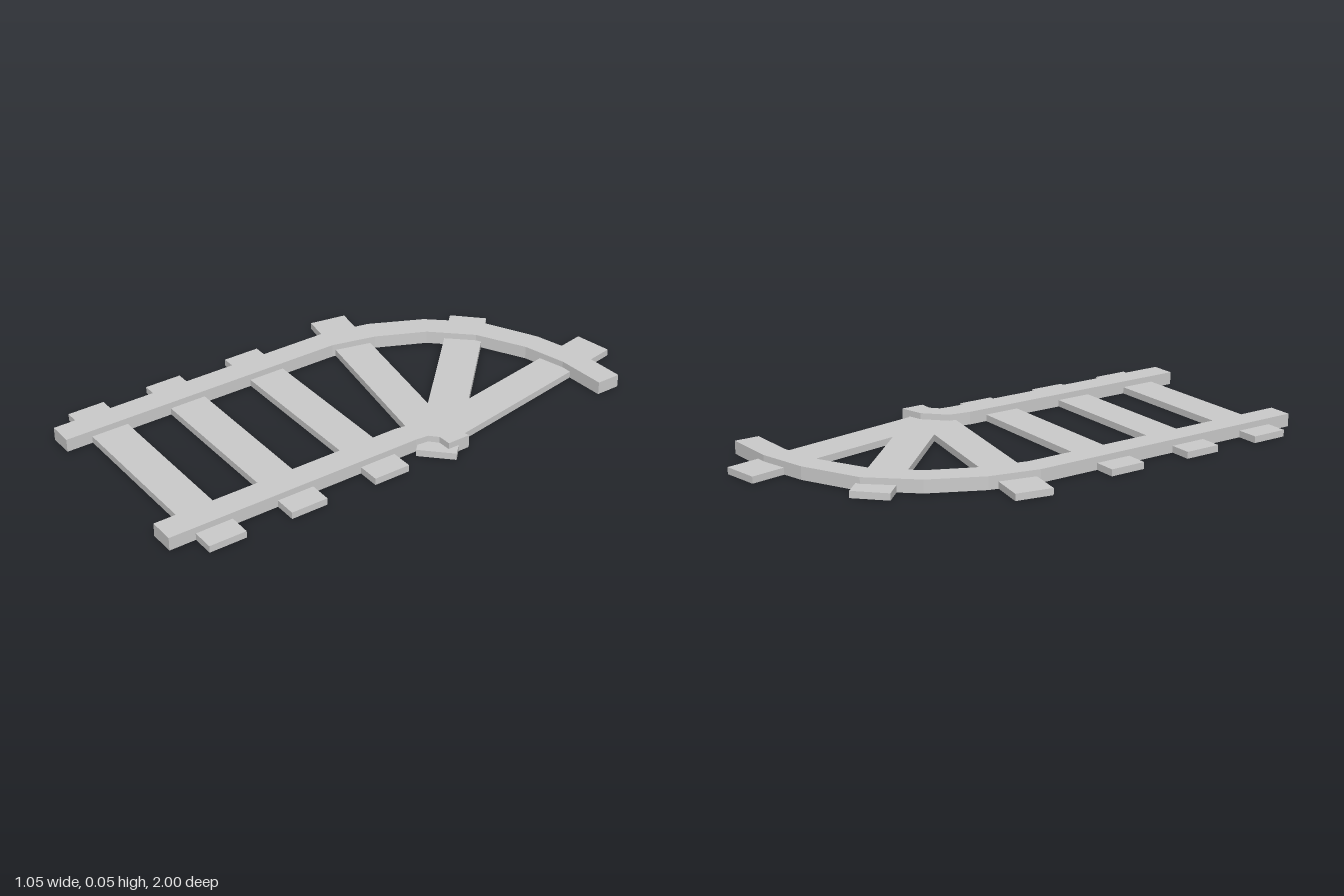
import * as THREE from 'three';

const RAIL_HEIGHT = 0.05;
const TIE = { length: 0.97, height: 0.026, width: 0.143 };

export function createModel() {
  const track = new THREE.Group();
  track.name = 'curvedTrack';
  const material = new THREE.MeshStandardMaterial({ color: 0xcccccc, flatShading: true });

  // Flat cross tie, turned about the vertical axis
  function addTie(name, x, z, degrees = 0) {
    const tie = new THREE.Mesh(new THREE.BoxGeometry(TIE.length, TIE.height, TIE.width), material);
    tie.name = name;
    tie.position.set(x, TIE.height / 2, z);
    tie.rotation.y = -THREE.MathUtils.degToRad(degrees);
    track.add(tie);
  }

  // Rail extruded upward from its plan: outer edge out, inner edge back, as [x, z]
  function addRail(name, outer, inner) {
    const plan = [...outer, ...inner.slice().reverse()];
    const shape = new THREE.Shape(plan.map(([x, z]) => new THREE.Vector2(x, -z)));
    const geometry = new THREE.ExtrudeGeometry(shape, { depth: RAIL_HEIGHT, bevelEnabled: false });
    geometry.rotateX(-Math.PI / 2);
    const rail = new THREE.Mesh(geometry, material);
    rail.name = name;
    track.add(rail);
  }

  // Ties of the straight section
  [0.165, 0.507, 0.828].forEach((z, i) => addTie(`straightTie${i + 1}`, 0, z));

  // Ties fanning round the bend, placed from their outer ends
  [[-0.515, -0.257, 10], [-0.212, -0.72, 45], [0.225, -0.985, 80]].forEach(([x, z, degrees], i) => {
    const a = THREE.MathUtils.degToRad(degrees);
    addTie(`bendTie${i + 1}`, x + Math.cos(a) * TIE.length / 2, z + Math.sin(a) * TIE.length / 2, degrees);
  });

  // Long rail with the wide bend
  addRail('outerRail',
    [[-0.4, 1], [-0.4, -0.15], [-0.36, -0.34], [-0.265, -0.54], [-0.12, -0.705], [0.095, -0.815], [0.28, -0.865], [0.485, -0.875]],
    [[-0.305, 1], [-0.305, -0.135], [-0.265, -0.305], [-0.18, -0.49], [-0.05, -0.63], [0.13, -0.727], [0.295, -0.77], [0.485, -0.78]]);

  // Short rail with the tight bend
  addRail('innerRail',
    [[0.302, 1], [0.302, 0.02], [0.315, -0.065], [0.395, -0.145], [0.485, -0.17]],
    [[0.4, 1], [0.4, 0], [0.405, -0.05], [0.435, -0.078], [0.485, -0.08]]);

  return track;
}
